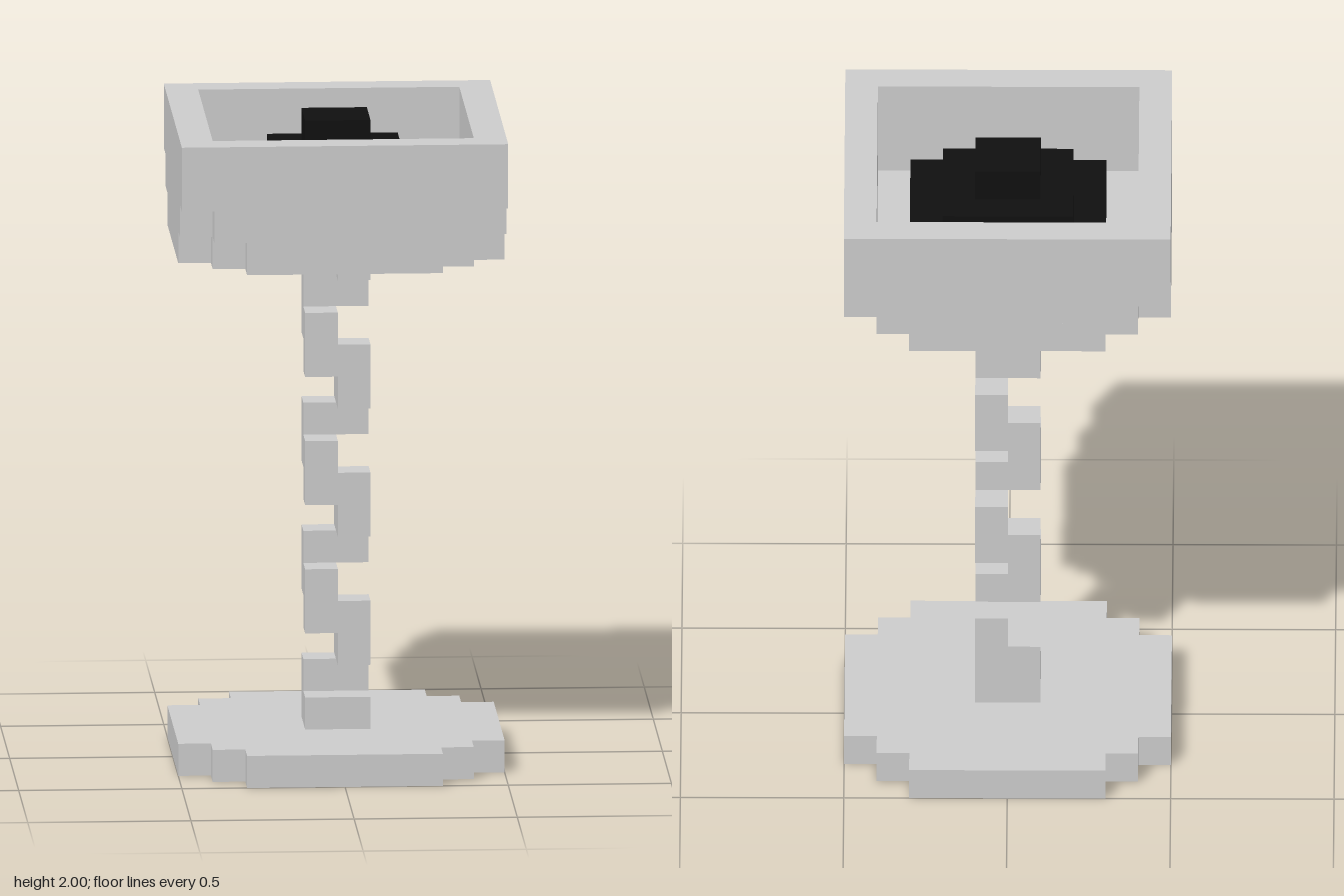
import * as THREE from 'three';

const U = 0.1; // edge of one block
const grey = new THREE.MeshStandardMaterial({ color: 0xcccccc, flatShading: true });
const black = new THREE.MeshStandardMaterial({ color: 0x101010, flatShading: true });

// Box given by its size, centre x / z and bottom height, in blocks
function block(parent, name, w, h, d, x, y, z, material = grey) {
  const mesh = new THREE.Mesh(new THREE.BoxGeometry(w * U, h * U, d * U), material);
  mesh.position.set(x * U, (y + h / 2) * U, z * U);
  mesh.name = name;
  parent.add(mesh);
}

// Flat slab extruded upward from y, in blocks
function slab(parent, name, shape, y, h) {
  const geometry = new THREE.ExtrudeGeometry(shape, { depth: h * U, bevelEnabled: false });
  geometry.rotateX(-Math.PI / 2);
  const mesh = new THREE.Mesh(geometry, grey);
  mesh.position.y = y * U;
  mesh.name = name;
  parent.add(mesh);
}

// Outline through one corner's points, repeated by quarter turns
function fourfold(corner, Type = THREE.Shape) {
  const points = [];
  for (let k = 0; k < 4; k++) {
    for (let [x, y] of corner) {
      for (let i = 0; i < k; i++) [x, y] = [-y, x];
      points.push(new THREE.Vector2(x * U, y * U));
    }
  }
  return new Type(points);
}

export function createModel() {
  const model = new THREE.Group();
  model.name = 'pedestalBowl';
  const steppedCorner = [[5, 3], [4, 3], [4, 4], [3, 4], [3, 5]];

  // Foot plate with stepped corners
  slab(model, 'base', fourfold(steppedCorner), 0, 1);

  // Twisted stem: a pair of blocks per level, turning a quarter each time
  const stem = new THREE.Group();
  stem.name = 'stem';
  model.add(stem);
  block(stem, 'stemFoot', 2, 1, 2, 0, 1, 0);
  const turn = [[-0.5, 0], [0, -0.5], [0.5, 0], [0, 0.5]];
  for (let level = 2; level <= 15; level++) {
    const [x, z] = turn[(level - 1) % 4];
    block(stem, 'stemStep', x ? 1 : 2, 1, x ? 2 : 1, x, level, z);
  }

  // Bowl: stepped floor, wall panels with open corners, square rim
  const bowl = new THREE.Group();
  bowl.name = 'bowl';
  model.add(bowl);
  slab(bowl, 'bowlFloor', fourfold(steppedCorner), 16, 1);
  for (const s of [-1, 1]) {
    block(bowl, 'lowerWall', 8, 1, 1, 0, 17, s * 4.5);
    block(bowl, 'lowerWall', 1, 1, 8, s * 4.5, 17, 0);
  }
  const rim = fourfold([[5, 5]]);
  rim.holes.push(fourfold([[4, 4]], THREE.Path));
  slab(bowl, 'rim', rim, 18, 2);

  // Dark stepped heap inside the bowl
  const heap = new THREE.Group();
  heap.name = 'coalHeap';
  model.add(heap);
  [6, 4, 2].forEach((w, i) => block(heap, 'coalLayer', w, 1, w, 0, 17 + i, 0, black));

  return model;
}
